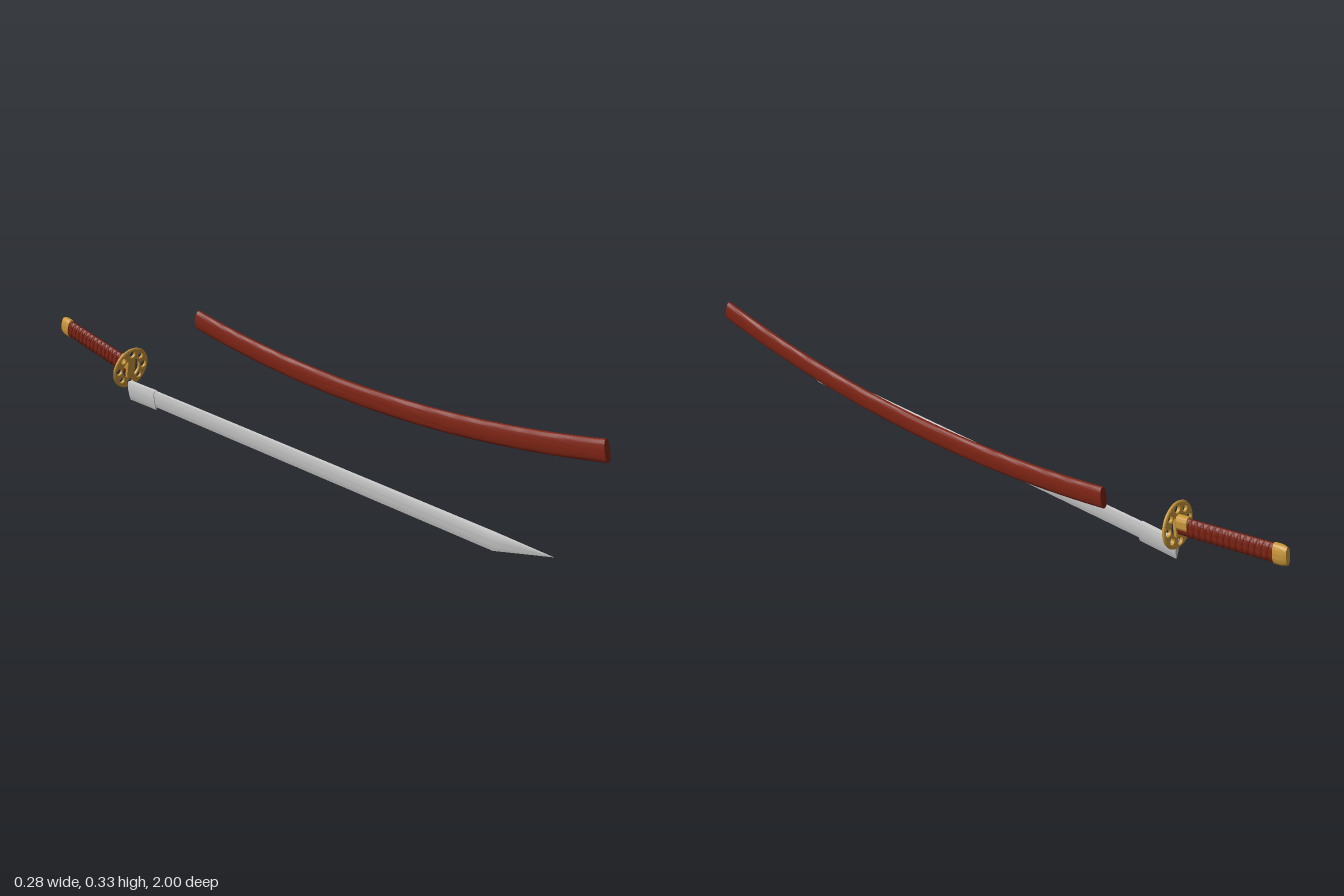
import * as THREE from 'three';
import { toCreasedNormals } from 'three/addons/utils/BufferGeometryUtils.js';

const steel = new THREE.MeshStandardMaterial({ color: 0xcccccc });
const lacquer = new THREE.MeshStandardMaterial({ color: 0x7d2414 });
const cord = new THREE.MeshStandardMaterial({ color: 0x742012 });
const gold = new THREE.MeshStandardMaterial({ color: 0xc8963a });

function part(name, geometry, material) {
  const mesh = new THREE.Mesh(geometry, material);
  mesh.name = name;
  return mesh;
}

// Rounded bar along z: half width hw, half height hh, p < 1 squares the oval.
function ovalBar(hw, hh, z0, z1, p = 0.85, segments = 1) {
  const g = new THREE.CylinderGeometry(1, 1, 1, 40, segments).rotateX(Math.PI / 2);
  const pos = g.attributes.position;
  const soft = (v) => Math.sign(v) * Math.pow(Math.abs(v), p);
  for (let i = 0; i < pos.count; i++) {
    pos.setXYZ(i, hw * soft(pos.getX(i)), hh * soft(pos.getY(i)),
      z0 + (z1 - z0) * (pos.getZ(i) + 0.5));
  }
  return g;
}

// Joins cross-sections (counter-clockwise from +z, ordered by rising z).
function loft(sections) {
  const v = [];
  const n = sections[0].length;
  const tri = (a, b, c) => v.push(...a, ...b, ...c);
  for (let s = 0; s < sections.length - 1; s++) {
    const a = sections[s], b = sections[s + 1];
    for (let i = 0; i < n; i++) {
      const j = (i + 1) % n;
      tri(a[i], a[j], b[j]);
      tri(a[i], b[j], b[i]);
    }
  }
  const first = sections[0], last = sections[sections.length - 1];
  for (let i = 1; i < n - 1; i++) {
    tri(first[0], first[i + 1], first[i]);
    tri(last[0], last[i], last[i + 1]);
  }
  const g = new THREE.BufferGeometry();
  g.setAttribute('position', new THREE.Float32BufferAttribute(v, 3));
  g.computeVertexNormals();
  return toCreasedNormals(g, 0.45);
}

// Wedge-shaped section: sharp edge below, full sides, narrow spine on top.
function bladeSection(z, bottom, top, hw) {
  const half = [[0.35, 0.12], [0.7, 0.35], [0.95, 0.6], [1, 0.78], [0.8, 1]];
  const at = ([x, t], side) => [side * x * hw, bottom + (top - bottom) * t, z];
  return [[0, bottom, z], ...half.map((q) => at(q, 1)),
    ...half.slice().reverse().map((q) => at(q, -1))];
}

// Round guard with a ring of holes and two crescent openings.
function guardGeometry() {
  const shape = new THREE.Shape();
  shape.absarc(0, 0, 0.068, 0, Math.PI * 2);
  for (let i = 0; i < 8; i++) {
    const a = i * Math.PI / 4;
    const hole = new THREE.Path();
    hole.absarc(0.0505 * Math.cos(a), 0.0505 * Math.sin(a), i % 2 ? 0.0095 : 0.0115, 0, Math.PI * 2, true);
    shape.holes.push(hole);
  }
  for (const side of [0, Math.PI]) {
    const crescent = new THREE.Path();
    crescent.absarc(0, 0, 0.034, side - 1.08, side + 1.08, false);
    crescent.closePath();
    shape.holes.push(crescent);
  }
  return new THREE.ExtrudeGeometry(shape, {
    depth: 0.007, curveSegments: 28, bevelEnabled: true,
    bevelThickness: 0.0015, bevelSize: 0.0015, bevelOffset: -0.0015, bevelSegments: 1,
  }).translate(0, 0, -0.0035);
}

// One cord wound around the grip; dir sets the winding direction.
function cordGeometry(dir, phase) {
  const pts = [];
  const turns = 7;
  for (let i = 0; i <= turns * 14; i++) {
    const t = i / (turns * 14);
    const a = phase + dir * t * turns * Math.PI * 2;
    pts.push(new THREE.Vector3(0.0125 * Math.cos(a), 0.029 * Math.sin(a), -0.04 - 0.27 * t));
  }
  return new THREE.TubeGeometry(new THREE.CatmullRomCurve3(pts), turns * 24, 0.0025, 6);
}

export function createModel() {
  const model = new THREE.Group();
  model.name = 'swordAndScabbard';

  // Blade and its collar
  const blade = new THREE.Group();
  blade.name = 'blade';
  blade.position.x = -0.071;
  blade.add(part('bladeBody', loft([
    bladeSection(-0.54, 0.012, 0.068, 0.0065),
    bladeSection(0.8, 0.012, 0.068, 0.0065),
    bladeSection(0.985, 0.0675, 0.068, 0.0003),
  ]), steel));
  blade.add(part('bladeCollar', loft([
    bladeSection(-0.66, 0, 0.067, 0.0095),
    bladeSection(-0.533, 0.002, 0.069, 0.009),
  ]), steel));
  model.add(blade);

  // Hilt: guard, grip, cord and fittings, tilted up toward the back
  const hilt = new THREE.Group();
  hilt.name = 'hilt';
  hilt.position.set(-0.071, 0.117, -0.653);
  hilt.rotation.x = 0.18;
  hilt.add(part('guard', toCreasedNormals(guardGeometry(), 0.5), gold));
  const rim = part('guardRim', new THREE.TorusGeometry(0.067, 0.0045, 8, 64), gold);
  hilt.add(rim);
  hilt.add(part('grip', toCreasedNormals(ovalBar(0.0125, 0.029, -0.315, -0.004, 0.95), 0.6), lacquer));
  for (const dir of [1, -1]) {
    for (const phase of [0, Math.PI]) hilt.add(part('gripCord', cordGeometry(dir, phase), cord));
  }
  const collar = part('gripCollar', toCreasedNormals(ovalBar(0.0155, 0.024, -0.04, -0.003), 0.6), gold);
  collar.position.y = 0.01;
  hilt.add(collar);

  // Domed end cap
  const capGeo = ovalBar(0.0155, 0.0325, -0.347, -0.308, 0.9, 6);
  const cp = capGeo.attributes.position;
  for (let i = 0; i < cp.count; i++) {
    const d = Math.max(0, (-0.325 - cp.getZ(i)) / 0.022);
    const s = Math.sqrt(1 - 0.5 * d * d);
    cp.setX(i, cp.getX(i) * s);
    cp.setY(i, cp.getY(i) * (0.4 + 0.6 * s));
  }
  hilt.add(part('endCap', toCreasedNormals(capGeo, 0.7), gold));
  model.add(hilt);

  // Scabbard: straight oval bar bent along a shallow arc
  const scabbardGeo = ovalBar(0.013, 0.0325, -0.67, 0.872, 0.85, 40);
  const sp = scabbardGeo.attributes.position;
  const R = 3.85;
  for (let i = 0; i < sp.count; i++) {
    const a = sp.getZ(i) / R;
    const r = R - sp.getY(i);
    sp.setY(i, R - r * Math.cos(a));
    sp.setZ(i, r * Math.sin(a));
  }
  const scabbard = part('scabbard', toCreasedNormals(scabbardGeo, 0.6), lacquer);
  scabbard.position.set(0.127, 0.2025, 0.13);
  model.add(scabbard);

  return model;
}
